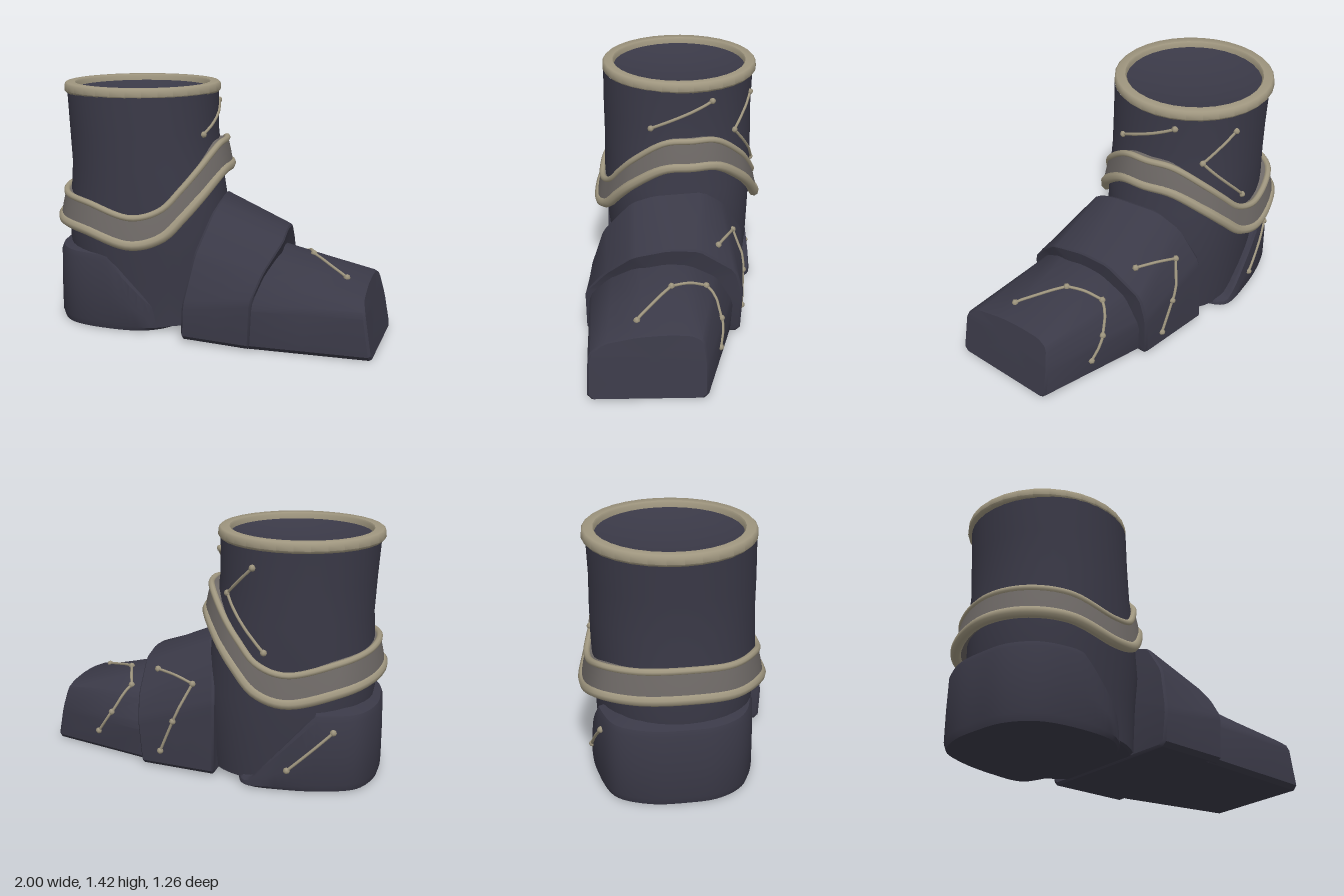
import * as THREE from 'three';
import { toCreasedNormals } from 'three/addons/utils/BufferGeometryUtils.js';

const V = (x, y, z) => new THREE.Vector3(x, y, z);
const centroid = (ring) => ring.reduce((s, p) => s.add(p), V(0, 0, 0)).divideScalar(ring.length);
const shrink = (ring, s) => { const c = centroid(ring); return ring.map((p) => c.clone().lerp(p, s)); };
const blend = (a, b, t) => a.map((p, i) => p.clone().lerp(b[i], t));

// Skin a list of equal-length closed rings, optionally capped, facing outward
function loft(rings, caps = true, crease = 0.6) {
  const n = rings[0].length, tris = [];
  for (let r = 0; r < rings.length - 1; r++) {
    for (let i = 0; i < n; i++) {
      const j = (i + 1) % n;
      const [a, b, c, d] = [rings[r][i], rings[r][j], rings[r + 1][j], rings[r + 1][i]];
      tris.push([a, b, c], [a, c, d]);
    }
  }
  if (caps) {
    const first = rings[0], last = rings[rings.length - 1];
    const c0 = centroid(first), c1 = centroid(last);
    for (let i = 0; i < n; i++) {
      const j = (i + 1) % n;
      tris.push([c0, first[j], first[i]], [c1, last[i], last[j]]);
    }
  }
  const volume = tris.reduce((s, [a, b, c]) => s + a.dot(b.clone().cross(c)), 0);
  if (volume < 0) tris.forEach((t) => t.reverse());
  const geo = new THREE.BufferGeometry().setFromPoints(tris.flat());
  return toCreasedNormals(geo, crease);
}

// Horizontal rounded outline between x and z limits
function outline(y, x0, x1, z0, z1, power, n = 40) {
  const f = (v) => Math.sign(v) * Math.pow(Math.abs(v), 2 / power);
  return Array.from({ length: n }, (_, i) => {
    const a = (i / n) * Math.PI * 2;
    return V((x0 + x1) / 2 + f(Math.cos(a)) * (x1 - x0) / 2, y, (z0 + z1) / 2 + f(Math.sin(a)) * (z1 - z0) / 2);
  });
}

// Cross-section with its corners cut by a small fixed amount
function section(points) {
  const p = points.map((q) => V(...q));
  return p.flatMap((a, i) => {
    const b = p[(i + 1) % p.length];
    const t = Math.min(0.17, 0.025 / a.distanceTo(b));
    return [a.clone().lerp(b, t), a.clone().lerp(b, 1 - t)];
  });
}

// Faceted foot plate between two cross-sections with bevelled ends
function plate(back, front) {
  const a = section(back), b = section(front);
  return loft([shrink(a, 0.97), blend(a, b, 0.03), blend(a, b, 0.5), blend(a, b, 0.98), shrink(b, 0.97)], true, 0.6);
}

// Path round the ankle that dips at the sides, rises over the instep and bulges at the heel corners
function bandPath(radius, dy) {
  const half = [[0, 1.0], [18, 0.99], [42, 0.86], [56, 0.755], [70, 0.65], [90, 0.605], [123, 0.67], [150, 0.69], [180, 0.705]];
  const all = [...half, ...half.slice(1, -1).reverse().map(([a, y]) => [360 - a, y])];
  const bump = (a, at, size) => size * Math.exp(-(((a - at) / 25) ** 2));
  return new THREE.CatmullRomCurve3(all.map(([a, y]) => {
    const t = THREE.MathUtils.degToRad(a);
    const r = radius * (1 + bump(a, 234, 0.08) + bump(a, 153, 0.04));
    return V(-0.465 + r * Math.cos(t), y + dy, -0.105 + r * 0.985 * Math.sin(t));
  }), true);
}

export function createModel() {
  const dark = new THREE.MeshStandardMaterial({ color: 0x3a3947 });
  dark.name = 'dark leather';
  const tan = new THREE.MeshStandardMaterial({ color: 0x9f967f });
  tan.name = 'tan trim';
  const grey = new THREE.MeshStandardMaterial({ color: 0x6e6966 });
  grey.name = 'grey band';

  const model = new THREE.Group();
  model.name = 'boot';
  const add = (name, geo, mat, parent = model) => {
    const mesh = new THREE.Mesh(geo, mat);
    mesh.name = name;
    parent.add(mesh);
    return mesh;
  };

  // Ankle and shaft
  const shaft = add('shaft', loft([
    outline(0.03, -0.85, 0.02, -0.5, 0.31, 2.2),
    outline(0.3, -0.9, 0.04, -0.53, 0.32, 2.2),
    outline(0.5, -0.935, 0.05, -0.54, 0.34, 2.2),
    outline(0.75, -0.925, 0.01, -0.555, 0.345, 2.2),
    outline(0.95, -0.915, -0.02, -0.56, 0.34, 2.1),
    outline(1.15, -0.925, -0.04, -0.56, 0.34, 2.1),
    outline(1.37, -0.94, -0.04, -0.57, 0.338, 2.05),
  ], false), dark);
  add('ankleUnderside', loft([
    outline(0.025, -0.83, 0.0, -0.48, 0.29, 2.2), outline(0.04, -0.85, 0.02, -0.5, 0.31, 2.2)]), dark);

  // Heel counter, turned with the foot, its top edge sloping down toward the arch
  const heelRing = new THREE.CatmullRomCurve3([
    [-0.985, -0.12], [-0.965, -0.31], [-0.87, -0.485], [-0.69, -0.55], [-0.45, -0.565], [-0.24, -0.53], [-0.19, -0.4],
    [-0.2, 0.02], [-0.25, 0.22], [-0.4, 0.33], [-0.65, 0.315], [-0.87, 0.225], [-0.97, 0.07],
  ].map(([x, z]) => V(x, 0, z)), true).getPoints(72).slice(0, -1);
  const heelTop = (x) => x < -0.6 ? 0.44 : Math.max(0.035, THREE.MathUtils.mapLinear(x, -0.6, -0.25, 0.41, 0.035));
  const heelLevel = (scale, f, lift) => heelRing.map((p) => {
    const y = heelTop(p.x) * f + lift;
    return V(-0.6 + (p.x + 0.6) * scale, y, -0.1 + (p.z + 0.1) * scale);
  });
  const heel = add('heel', loft([
    heelLevel(0.97, 0, 0.005), heelLevel(1, 0.08, 0.01), heelLevel(1, 0.5, 0),
    heelLevel(0.99, 0.95, 0), heelLevel(0.96, 1, 0.01), heelLevel(0.8, 1, 0.03)]), dark);

  // Instep plate
  const instep = add('instepPlate', plate(
    [[-0.17, 0.015, 0.47], [-0.16, 0.22, 0.485], [-0.1, 0.5, 0.41], [-0.02, 0.71, 0.25], [0.01, 0.76, 0.12],
      [0.01, 0.76, -0.18], [-0.03, 0.66, -0.31], [-0.05, 0.45, -0.44], [-0.05, 0.015, -0.455]],
    [[0.23, 0.005, 0.56], [0.24, 0.28, 0.565], [0.3, 0.42, 0.46], [0.4, 0.57, 0.31], [0.41, 0.6, 0.1],
      [0.42, 0.585, -0.08], [0.42, 0.43, -0.3], [0.42, 0.28, -0.34], [0.4, 0.005, -0.33]]), dark);

  // Toe cap
  const toe = add('toeCap', plate(
    [[0.15, 0.0, 0.53], [0.17, 0.25, 0.53], [0.25, 0.39, 0.42], [0.33, 0.49, 0.28], [0.35, 0.51, 0.1],
      [0.36, 0.49, -0.03], [0.37, 0.39, -0.2], [0.38, 0.22, -0.295], [0.36, 0.0, -0.285]],
    [[0.91, 0.0, 0.635], [0.87, 0.26, 0.62], [0.86, 0.32, 0.54], [0.88, 0.355, 0.35], [0.9, 0.365, 0.2],
      [0.92, 0.36, 0.06], [0.94, 0.33, -0.005], [0.975, 0.2, -0.02], [1.01, 0.0, -0.015]]), dark);

  // Collar ring and the shallow hollow inside it
  const lathe = (pts) => toCreasedNormals(
    new THREE.LatheGeometry(pts.map((p) => new THREE.Vector2(...p)), 32).toNonIndexed(), 0.8);
  const collar = add('collar', lathe([[0.4, 1.35], [0.455, 1.36], [0.468, 1.375], [0.465, 1.41],
    [0.455, 1.42], [0.405, 1.42], [0.397, 1.41], [0.4, 1.35]]), tan);
  const lining = add('lining', lathe([[0.405, 1.385], [0.3, 1.355], [0.15, 1.335], [0, 1.33]]), dark);
  for (const part of [collar, lining]) part.position.set(-0.495, 0, -0.125);

  // Ankle band with tan edging
  const band = new THREE.Group();
  band.name = 'ankleBand';
  model.add(band);
  const profile = [[0.41, 0.085], [0.482, 0.09], [0.502, 0.0], [0.515, -0.075], [0.41, -0.075], [0.41, 0.085]];
  add('bandStrap', loft(profile.map(([r, dy]) => bandPath(r, dy).getPoints(80).slice(0, -1)), false), grey, band);
  add('bandUpperEdge', new THREE.TubeGeometry(bandPath(0.478, 0.083), 96, 0.019, 8, true), tan, band);
  add('bandLowerEdge', new THREE.TubeGeometry(bandPath(0.5, -0.07), 96, 0.031, 8, true), tan, band);

  // Stitched star lines laid on the surfaces
  const ray = new THREE.Raycaster();
  function starLine(name, mesh, coreOf, points) {
    const group = new THREE.Group();
    group.name = name;
    model.add(group);
    const snap = (p) => {
      const core = coreOf(p), dir = p.clone().sub(core).normalize();
      ray.set(core.clone().addScaledVector(dir, 1.5), dir.clone().negate());
      const hit = ray.intersectObject(mesh)[0];
      return hit ? hit.point.addScaledVector(dir, 0.004) : p;
    };
    const knots = points.map((p) => V(...p));
    knots.forEach((p, i) => {
      add('star', new THREE.OctahedronGeometry(0.02, 1), tan, group).position.copy(snap(p));
      if (i === 0) return;
      const path = Array.from({ length: 9 }, (_, k) => snap(knots[i - 1].clone().lerp(p, k / 8)));
      add('thread', new THREE.TubeGeometry(new THREE.CatmullRomCurve3(path), 16, 0.009, 6), tan, group);
    });
  }
  const shaftCore = (p) => V(-0.49, p.y, -0.125);
  const footCore = (p) => V(p.x, 0.1, 0.12);
  starLine('shaftFrontStars', shaft, shaftCore, [[-0.1, 1.14, 0.11], [-0.06, 1.3, -0.24]]);
  starLine('shaftSideStars', shaft, shaftCore, [[-0.27, 1.26, -0.52], [-0.12, 1.085, -0.39], [-0.34, 0.8, -0.55]]);
  starLine('heelStars', heel, (p) => V(p.x, p.y, -0.1), [[-0.73, 0.36, -0.55], [-0.48, 0.13, -0.56]]);
  starLine('instepStars', instep, footCore,
    [[0.32, 0.56, -0.21], [0.09, 0.53, -0.35], [0.2, 0.31, -0.4], [0.28, 0.11, -0.37]]);
  starLine('toeStars', toe, footCore,
    [[0.76, 0.39, 0.34], [0.56, 0.445, 0.11], [0.51, 0.41, -0.1], [0.62, 0.26, -0.18], [0.71, 0.12, -0.16]]);

  return model;
}
